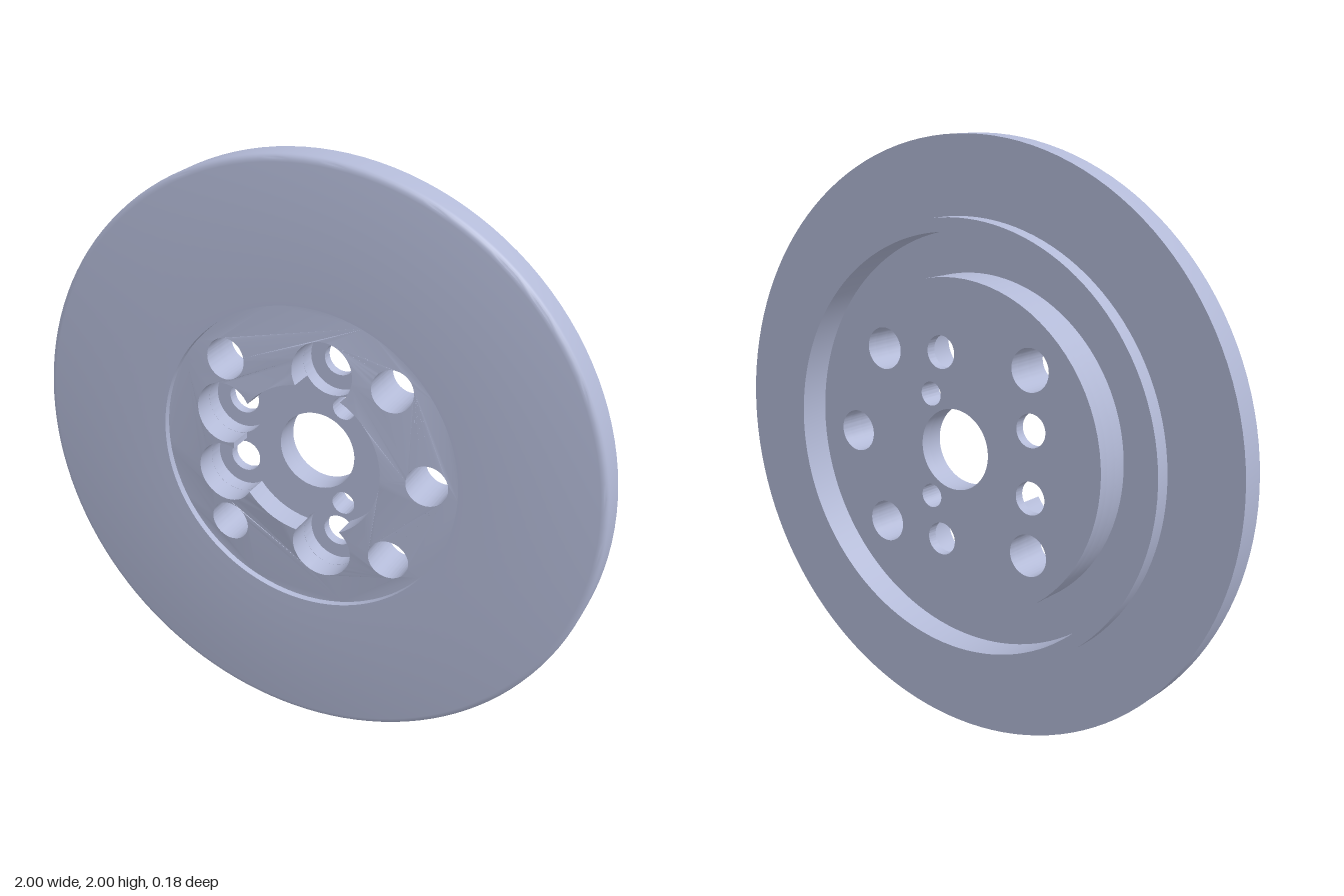
import * as THREE from 'three';
import { toCreasedNormals } from 'three/addons/utils/BufferGeometryUtils.js';

const deg = Math.PI / 180;
const HUB_R = 0.56, RECESS_R = 0.265, BORE_R = 0.105, BOLT_CIRCLE = 0.32;
const boltAngles = [80, 160, 200, 280].map(a => a * deg);
const bolts = boltAngles.map(a => [BOLT_CIRCLE * Math.cos(a), BOLT_CIRCLE * Math.sin(a)]);
const largeHoles = [[0.42, 0], [0.295, 0.3], [-0.295, 0.3], [-0.295, -0.3], [0.295, -0.3]];
const pinHoles = [[0.097, 0.173], [0.097, -0.173]];

function circle(r, x = 0, y = 0, Type = THREE.Path) {
  const c = new Type();
  c.absarc(x, y, r, 0, Math.PI * 2, false);
  return c;
}

function arcPoints(points, cx, cy, r, from, to, steps) {
  for (let i = 0; i < steps; i++) {
    const a = from + (to - from) * i / steps;
    points.push(new THREE.Vector2(cx + r * Math.cos(a), cy + r * Math.sin(a)));
  }
}

// Round recess outline with the four bolt counterbores breaking into it
function recessOutline() {
  const d = BOLT_CIRCLE;
  const half = Math.acos((RECESS_R ** 2 + d ** 2 - BORE_R ** 2) / (2 * RECESS_R * d));
  const sweep = Math.atan2(RECESS_R * Math.sin(half), RECESS_R * Math.cos(half) - d);
  const points = [];
  let last = boltAngles[3] - Math.PI * 2;
  boltAngles.forEach((a, i) => {
    const steps = Math.max(2, Math.ceil((a - last - 2 * half) / (5 * deg)));
    arcPoints(points, 0, 0, RECESS_R, last + half, a - half, steps);
    arcPoints(points, ...bolts[i], BORE_R, a - sweep, a + sweep, 40);
    last = a;
  });
  return new THREE.Path(points);
}

// Flat slab between two depths, cut by the given holes
function slab(r, z0, z1, holes) {
  const shape = circle(r, 0, 0, THREE.Shape);
  shape.holes.push(...holes);
  const geo = new THREE.ExtrudeGeometry(shape, { depth: z1 - z0, bevelEnabled: false, curveSegments: 40 });
  return geo.translate(0, 0, z0);
}

export function createModel() {
  const group = new THREE.Group();
  const metal = new THREE.MeshStandardMaterial({ color: 0xb2b9d6 });
  metal.name = 'blueGreyMetal';

  const add = (name, geo) => {
    const mesh = new THREE.Mesh(toCreasedNormals(geo, 0.5), metal);
    mesh.name = name;
    mesh.position.y = 1;
    group.add(mesh);
  };

  // Outer disc: rounded front edge, stepped back ring and deep back groove
  const profile = [
    [HUB_R, -0.01], [HUB_R, 0.04], [0.7, 0.04], [0.7, -0.07], [0.745, -0.07],
    [0.745, -0.015], [1, -0.015], [1, 0.068],
    [0.998, 0.077], [0.993, 0.084], [0.986, 0.088], [0.977, 0.09],
    [0.53, 0.09], [0.53, 0.05],
  ].map(p => new THREE.Vector2(...p));
  add('outerDisc', new THREE.LatheGeometry(profile, 128).rotateX(Math.PI / 2));

  const commonHoles = () => largeHoles.map(p => circle(0.07, ...p));
  const floorHoles = () => [
    circle(0.135), ...commonHoles(), ...pinHoles.map(p => circle(0.04, ...p)),
  ];

  // Hub back plate with bolt holes
  add('hubBackPlate', slab(HUB_R, -0.09, -0.055, [
    ...floorHoles(), ...bolts.map(p => circle(0.055, ...p)),
  ]));

  // Hub floor with wide counterbores
  add('hubFloor', slab(HUB_R, -0.055, 0, [
    ...floorHoles(), ...bolts.map(p => circle(BORE_R - 0.0005, ...p)),
  ]));

  // Front hub ring, its face falling gently towards the rim
  const ring = slab(0.53, 0, 0.088, [recessOutline(), ...commonHoles()]);
  const pos = ring.attributes.position;
  for (let i = 0; i < pos.count; i++) {
    if (pos.getZ(i) > 0.04) {
      const r = Math.hypot(pos.getX(i), pos.getY(i));
      pos.setZ(i, 0.088 - 0.08 * Math.max(0, r - RECESS_R));
    }
  }
  add('hubFrontRing', ring);

  return group;
}
